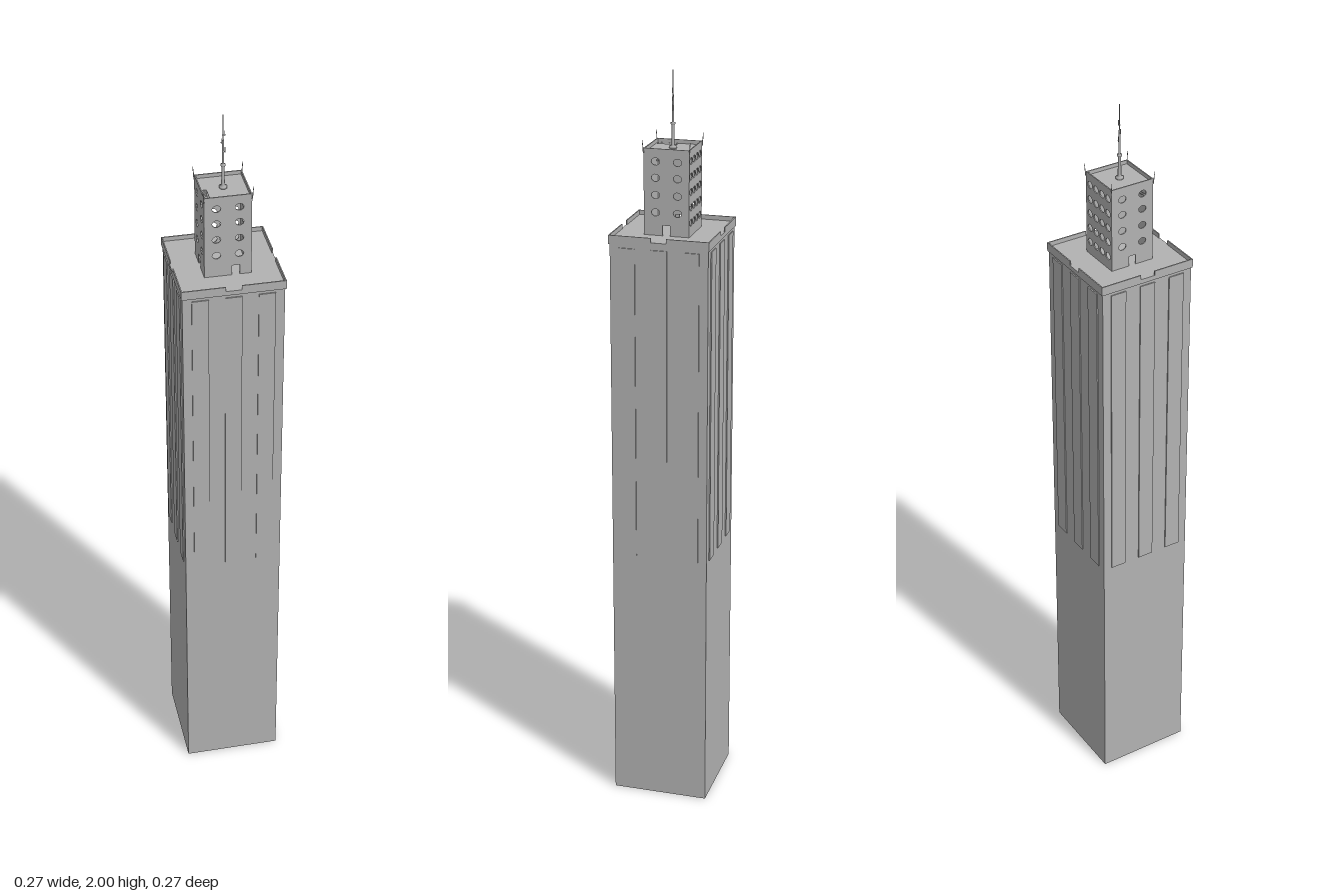
import * as THREE from 'three';

const concrete = new THREE.MeshStandardMaterial({ color: 0xb2b2b2, side: THREE.DoubleSide });
concrete.name = 'concrete grey';

function add(parent, name, geometry, x = 0, y = 0, z = 0) {
  const mesh = new THREE.Mesh(geometry, concrete);
  mesh.name = name;
  mesh.position.set(x, y, z);
  parent.add(mesh);
  return mesh;
}
const box = (parent, name, w, h, d, x, y, z) =>
  add(parent, name, new THREE.BoxGeometry(w, h, d), x, y, z);

// Four copies of a part, one for each side of the tower
function eachSide(parent, name, build) {
  for (let i = 0; i < 4; i++) {
    const side = new THREE.Group();
    side.name = name;
    side.rotation.y = i * Math.PI / 2;
    build(side, i);
    parent.add(side);
  }
}

const SHAFT = 0.13, OUTER = 0.133, ROOF = 1.585, SHAFT_TOP = 1.597;
const HALF = 0.06, WALL = 0.003, TOP = 1.81;

// Wall of the upper block with oval windows and an optional doorway
function windowWall(columns, rows, doorX) {
  const shape = new THREE.Shape();
  shape.moveTo(-HALF, ROOF);
  if (doorX !== null) {
    shape.lineTo(doorX - 0.01, ROOF);
    shape.lineTo(doorX - 0.01, ROOF + 0.027);
    shape.lineTo(doorX + 0.01, ROOF + 0.027);
    shape.lineTo(doorX + 0.01, ROOF);
  }
  shape.lineTo(HALF, ROOF);
  shape.lineTo(HALF, TOP);
  shape.lineTo(-HALF, TOP);
  shape.closePath();
  for (const x of columns) for (const y of rows) {
    const hole = new THREE.Path();
    hole.absellipse(x, y, 0.011, 0.0095, 0, Math.PI * 2, true);
    shape.holes.push(hole);
  }
  return new THREE.ExtrudeGeometry(shape, { depth: WALL, bevelEnabled: false, curveSegments: 5 });
}

export function createModel() {
  const model = new THREE.Group();
  model.name = 'skyscraper';

  // Hollow shaft, open underneath, with raised pilasters and notched parapet
  eachSide(model, 'shaftSide', side => {
    add(side, 'shaftWall', new THREE.PlaneGeometry(SHAFT * 2, ROOF), 0, ROOF / 2, SHAFT);
    for (const x of [-0.085, 0, 0.085]) {
      box(side, 'pilaster', 0.043, 0.85, WALL, x, 1.14, SHAFT + WALL / 2);
    }
    box(side, 'cornice', OUTER * 2, 0.012, WALL, 0, ROOF - 0.006, SHAFT + WALL / 2);
    for (const s of [-1, 1]) {
      box(side, 'parapet', OUTER - 0.02, SHAFT_TOP - ROOF, WALL,
        s * (OUTER + 0.02) / 2, (ROOF + SHAFT_TOP) / 2, SHAFT + WALL / 2);
    }
  });
  box(model, 'mainRoof', OUTER * 2, 0.002, OUTER * 2, 0, ROOF - 0.001, 0);

  // Upper block: two window columns on three sides, four at the back
  const four = [1.645, 1.69, 1.735, 1.777];
  const five = [1.62, 1.66, 1.70, 1.74, 1.78];
  eachSide(model, 'upperSide', (side, i) => {
    const wall = i === 2
      ? windowWall([-0.042, -0.014, 0.014, 0.042], five, null)
      : windowWall([-0.029, 0.029], four, i === 0 ? 0.02 : 0);
    add(side, 'upperWall', wall, 0, 0, HALF - WALL);
  });

  // Recessed roof with an opening for the stairs
  const roof = new THREE.Shape();
  const r = HALF - WALL;
  roof.moveTo(-r, -r).lineTo(r, -r).lineTo(r, r).lineTo(-r, r).closePath();
  const hatch = new THREE.Path();
  hatch.moveTo(-0.056, -0.055).lineTo(-0.056, -0.002).lineTo(-0.042, -0.002).lineTo(-0.042, -0.055);
  hatch.closePath();
  roof.holes.push(hatch);
  const roofGeometry = new THREE.ExtrudeGeometry(roof, { depth: 0.002, bevelEnabled: false });
  roofGeometry.rotateX(-Math.PI / 2);
  add(model, 'upperRoof', roofGeometry, 0, 1.798, 0);

  // Stairs climbing inside, one step at a time
  for (let i = 0; i < 11; i++) {
    box(model, 'stairStep', 0.014, 0.004, 0.005, -0.049, 1.796 - i * 0.004, 0.0045 + i * 0.0049);
  }

  // Slim corner spikes leaning outward
  eachSide(model, 'cornerSpike', side => {
    const spike = add(side, 'spike', new THREE.CylinderGeometry(0.0006, 0.0016, 0.034, 4), 0.0615, 1.814, 0.0615);
    spike.rotation.set(0.08, 0, -0.08);
  });

  // Antenna mast as one turned profile
  const mast = [[0, 1.80], [0.010, 1.80], [0.010, 1.806], [0.0045, 1.808], [0.004, 1.862],
    [0.0065, 1.862], [0.0065, 1.866], [0.003, 1.867], [0.0025, 1.93], [0.0018, 1.932], [0.001, 2], [0, 2]];
  add(model, 'antennaMast', new THREE.LatheGeometry(mast.map(p => new THREE.Vector2(p[0], p[1])), 12));
  for (const [x, y] of [[0.005, 1.90], [-0.004, 1.925], [0.004, 1.945]]) {
    box(model, 'antennaArm', 0.008, 0.002, 0.002, x / 2, y, 0);
    box(model, 'antennaRod', 0.0015, 0.014, 0.0015, x, y + 0.004, 0);
  }

  return model;
}
